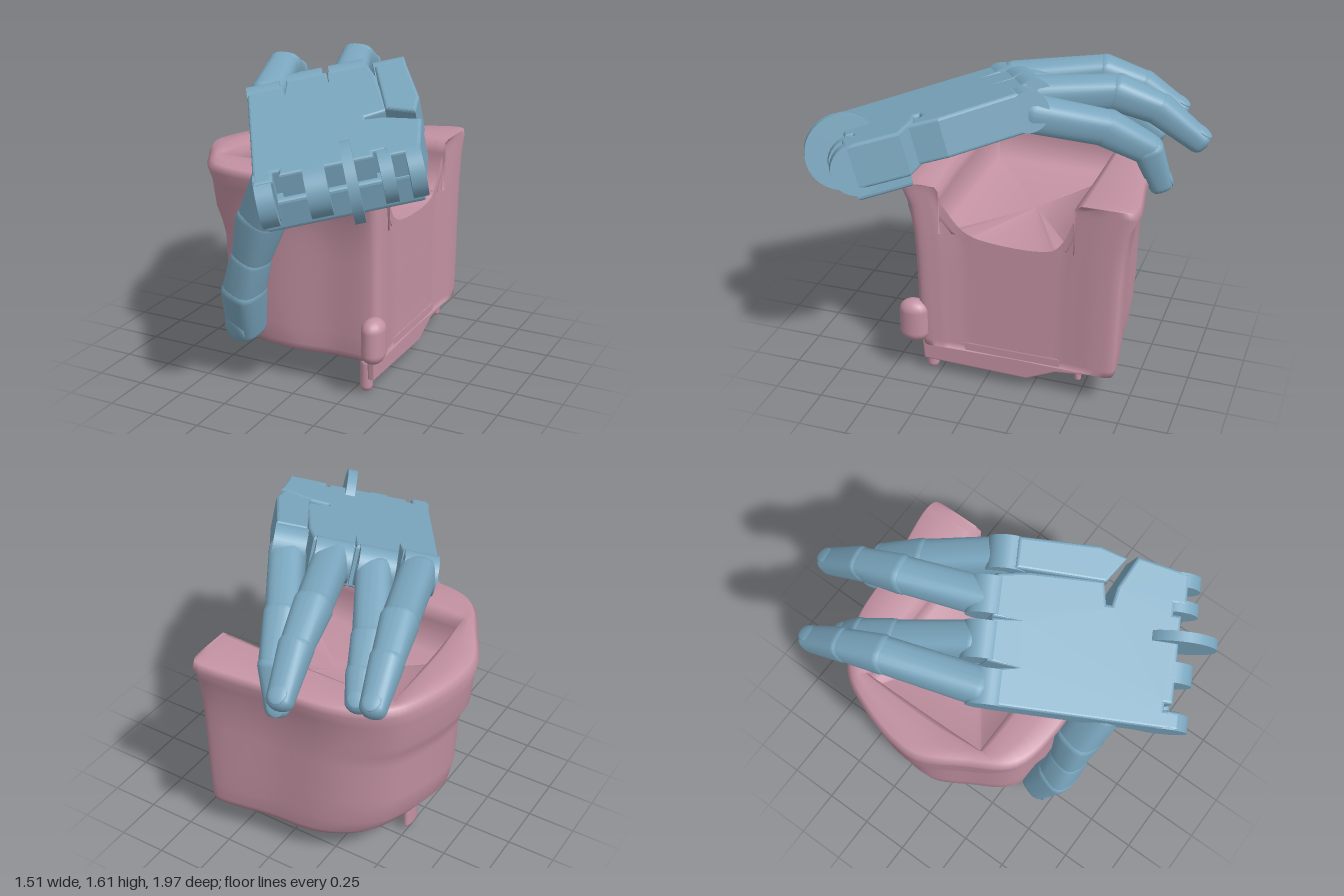
import * as THREE from 'three';

const blue = new THREE.MeshStandardMaterial({ color: 0x7ba7bf });
const pink = new THREE.MeshStandardMaterial({ color: 0xc392a2, side: THREE.DoubleSide });
const V = (x, y, z) => new THREE.Vector3(x, y, z);

function add(parent, name, geo, mat, x = 0, y = 0, z = 0) {
  const m = new THREE.Mesh(geo, mat);
  m.name = name;
  m.position.set(x, y, z);
  parent.add(m);
  return m;
}

function slab(pts, depth, bevel) {
  return new THREE.ExtrudeGeometry(new THREE.Shape(pts.map(p => new THREE.Vector2(...p))),
    { depth, bevelEnabled: true, bevelSize: bevel, bevelThickness: bevel, bevelSegments: 3 });
}

// Tub chair: a plan outline (x, rim height, z) lofted up the outside, over the rim and down to the seat
function chairShell() {
  const plan = [
    [0.39, 1.1, 0.36], [0.36, 1.1, 0.39], [0.1, 1.12, 0.4], [-0.2, 1.12, 0.43], [-0.49, 1.12, 0.38], [-0.64, 1.12, 0.17],
    [-0.74, 1.1, -0.02], [-0.74, 1.09, -0.16], [-0.68, 1.08, -0.37], [-0.59, 1.08, -0.53],
    [-0.36, 1.09, -0.66], [0, 1.1, -0.7], [0.34, 1.12, -0.745], [0.385, 1.12, -0.73], [0.395, 1.12, -0.63],
    [0.38, 1.08, -0.5], [0.37, 0.9, -0.41], [0.37, 0.84, -0.35],
    [0.37, 0.84, 0.02], [0.37, 0.88, 0.11], [0.38, 1.0, 0.2], [0.39, 1.1, 0.27],
  ].map(p => V(...p));
  const N = 132;
  const pts = new THREE.CatmullRomCurve3(plan, true).getPoints(N).slice(0, N);
  const base = 0.18, cz = -0.18;
  // [height fraction, x scale from the open side, z scale]
  const levels = [[0, 0.01, 0.01], [0, 0.81, 0.89], [0.04, 0.85, 0.91], [0.14, 0.91, 0.92], [0.3, 0.935, 0.93],
    [0.55, 0.94, 0.94], [0.64, 0.96, 0.95], [0.72, 0.99, 0.96], [0.88, 1, 1], [0.96, 1.01, 1.06], [1, 0.99, 1.03]];
  const rings = levels.map(([t, kx, kz]) => pts.map(p =>
    [0.38 + (p.x - 0.38) * kx, base + (p.y - base) * t, cz + (p.z - cz) * kz]));
  const rim = rings[rings.length - 1];
  const inner = (p, y) => [Math.max(p.x, -0.54), y, THREE.MathUtils.clamp(p.z, -0.47, 0.22)];
  for (const t of [0.4, 0.85]) {
    rings.push(pts.map((p, i) => inner(p, p.y).map((v, k) => THREE.MathUtils.lerp(rim[i][k], v, t))));
  }
  for (const drop of [0.025, 0.07, 0.4]) rings.push(pts.map(p => inner(p, Math.max(Math.min(p.y, 0.85), p.y - drop))));
  rings.push(pts.map(() => [-0.05, 0.84, -0.15]));
  const index = [];
  for (let j = 0; j < rings.length - 1; j++) {
    for (let i = 0; i < N; i++) {
      const a = j * N + i, b = j * N + (i + 1) % N;
      index.push(a, a + N, b, b, a + N, b + N);
    }
  }
  const geo = new THREE.BufferGeometry();
  geo.setAttribute('position', new THREE.Float32BufferAttribute(rings.flat(2), 3));
  geo.setIndex(index);
  geo.computeVertexNormals();
  return geo;
}

function buildChair() {
  const chair = new THREE.Group();
  chair.name = 'tubChair';
  add(chair, 'chairBody', chairShell(), pink);
  // Sagging edge under the open side, drawn in the side plane
  const skirt = slab([[-0.33, 0.22], [-0.32, 0.09], [0.23, 0.08], [0.38, 0.15], [0.64, 0.18], [0.64, 0.22]], 0.02, 0.01);
  add(chair, 'openSideSkirt', skirt, pink, 0.343).rotation.y = Math.PI / 2;
  add(chair, 'armKnob', new THREE.CapsuleGeometry(0.06, 0.12, 8, 16), pink, 0.385, 0.32, 0.37).scale.z = 1.3;
  // x, y, z, radius, stretch along z
  const legs = [[0.315, 0.095, 0.3, 0.033, 1], [-0.5, 0.11, -0.16, 0.022, 2.8], [0.355, 0.19, -0.5, 0.018, 1], [-0.38, 0.19, 0.1, 0.018, 1]];
  for (const [x, y, z, r, k] of legs) {
    add(chair, 'leg', new THREE.CapsuleGeometry(r, 0.12, 6, 12), pink, x, y, z).scale.z = k;
  }
  return chair;
}

// One bone: a tapered, rounded segment with a squarish section, from a to b
function bone(parent, name, a, b, r0, r1, facing) {
  const dir = b.clone().sub(a), len = dir.length();
  dir.normalize();
  const prof = [];
  for (let i = 0; i <= 5; i++) {
    const t = i / 5 * Math.PI / 2;
    prof.push(new THREE.Vector2(r0 * Math.sin(t), -r0 * 0.75 * Math.cos(t)));
  }
  for (let i = 0; i <= 5; i++) {
    const t = i / 5 * Math.PI / 2;
    prof.push(new THREE.Vector2(r1 * Math.cos(t), len + r1 * 0.75 * Math.sin(t)));
  }
  const geo = new THREE.LatheGeometry(prof, 24);
  const pos = geo.attributes.position;
  for (let i = 0; i < pos.count; i++) {
    const x = pos.getX(i), z = pos.getZ(i), r = Math.hypot(x, z);
    if (r < 1e-5) continue;
    const k = Math.pow((x / r) ** 4 + (z / r) ** 4, -0.18);
    pos.setX(i, x * k);
    pos.setZ(i, z * k);
  }
  geo.computeVertexNormals();
  const m = add(parent, name, geo, blue);
  const normal = facing.clone().addScaledVector(dir, -facing.dot(dir)).normalize();
  const side = dir.clone().cross(normal);
  m.quaternion.setFromRotationMatrix(new THREE.Matrix4().makeBasis(side, dir, normal));
  m.position.copy(a);
  return { m, len };
}

// A chain of bones, each slightly stepped at the joint, ending in a nail
function digit(name, joints, radii, facing) {
  const g = new THREE.Group();
  g.name = name;
  const p = joints.map(j => V(...j));
  for (let i = 0; i < p.length - 1; i++) {
    const { m, len } = bone(g, name + 'Segment', p[i], p[i + 1], radii[i], radii[i + 1] * 0.94, facing);
    if (i === p.length - 2) {
      const r = radii[i + 1];
      add(m, 'nail', new THREE.SphereGeometry(1, 16, 10), blue, 0, len - r * 0.3, r * 0.85).scale.set(r * 0.7, r * 0.8, r * 0.2);
    }
  }
  return g;
}

// Palm in its own frame: x across the knuckles, y to the fingers, z out of the back of the hand
function buildPalm() {
  const palm = new THREE.Group();
  palm.name = 'palm';
  const s = V(0.85, 0.2, -0.48).normalize();
  const f = V(-0.5, 0.22, -0.84);
  f.addScaledVector(s, -f.dot(s)).normalize();
  palm.quaternion.setFromRotationMatrix(new THREE.Matrix4().makeBasis(s, f, s.clone().cross(f)));
  palm.position.set(0.1, 1.25, 0.95);

  // Back plate with slots between the knuckles and wrist notches
  add(palm, 'palmPlate', slab([
    [-0.02, 0.04], [0.04, 0.04], [0.04, 0.12], [0.1, 0.12], [0.1, 0.08], [0.5, 0.08], [0.5, 0.12],
    [0.58, 0.12], [0.58, 0.06], [0.71, 0.06], [0.75, 0.3], [0.6, 0.38], [0.5, 0.4], [0.5, 0.45], [0.61, 0.47],
    [0.595, 0.83], [0.57, 0.96], [0.39, 0.96], [0.375, 0.83], [0.36, 0.96],
    [0.18, 0.96], [0.155, 0.81], [0.13, 0.91], [-0.02, 0.91],
  ], 0.19, 0.015), blue, 0, 0, -0.205);
  // Raised plate of the little finger
  add(palm, 'littleFingerPlate', slab([[0.63, 0.46], [0.74, 0.38], [0.77, 0.5], [0.755, 0.88], [0.63, 0.88]], 0.17, 0.015), blue, 0, 0, -0.17);
  // Deep heel at the wrist
  add(palm, 'heel', slab([[0, 0.06], [0.69, 0.06], [0.71, 0.29], [0, 0.29]], 0.12, 0.02), blue, 0, 0, -0.26);

  // Barrel shapes lying across the palm
  const barrel = (name, x, y, z, r, w) =>
    add(palm, name, new THREE.CylinderGeometry(r, r, w, 32), blue, x, y, z).rotateZ(Math.PI / 2);
  [[0.05, 0.94, 0.17], [0.265, 0.99, 0.18], [0.478, 0.99, 0.18], [0.69, 0.92, 0.16]]
    .forEach(([x, y, w]) => barrel('knuckle', x, y, -0.09, 0.1, w));
  [[0.005, 0.08], [0.24, 0.1], [0.56, 0.06], [0.69, 0.07]]
    .forEach(([x, w]) => barrel('wristLug', x, 0.075, -0.125, 0.125, w));
  barrel('wristDisc', 0.4, 0.04, -0.1, 0.19, 0.05);
  return palm;
}

export function createModel() {
  const model = new THREE.Group();
  model.name = 'handHoldingChair';
  model.add(buildChair());

  const hand = new THREE.Group();
  hand.name = 'hand';
  hand.add(buildPalm());
  const up = V(0, 1, -0.3), front = V(-0.2, 0.1, 1);
  const r = [0.088, 0.088, 0.078, 0.064];
  hand.add(
    digit('indexFinger', [[-0.36, 1.4, 0.08], [-0.51, 1.44, -0.36], [-0.565, 1.37, -0.56], [-0.605, 1.24, -0.75]], r, up),
    digit('middleFinger', [[-0.2, 1.43, -0.06], [-0.38, 1.31, -0.4], [-0.44, 1.24, -0.56], [-0.475, 1.15, -0.66]], r, up),
    digit('ringFinger', [[-0.01, 1.48, -0.14], [-0.15, 1.49, -0.52], [-0.195, 1.41, -0.73], [-0.235, 1.25, -0.93]], r, up),
    digit('littleFinger', [[0.21, 1.48, -0.19], [0.02, 1.37, -0.52], [-0.06, 1.25, -0.71], [-0.11, 1.05, -0.77]], r, up),
    digit('thumb', [[-0.02, 1.16, 0.58], [-0.14, 0.92, 0.54], [-0.21, 0.7, 0.53], [-0.265, 0.52, 0.51], [-0.305, 0.29, 0.43]],
      [0.11, 0.112, 0.092, 0.103, 0.096], front),
  );
  model.add(hand);
  return model;
}
